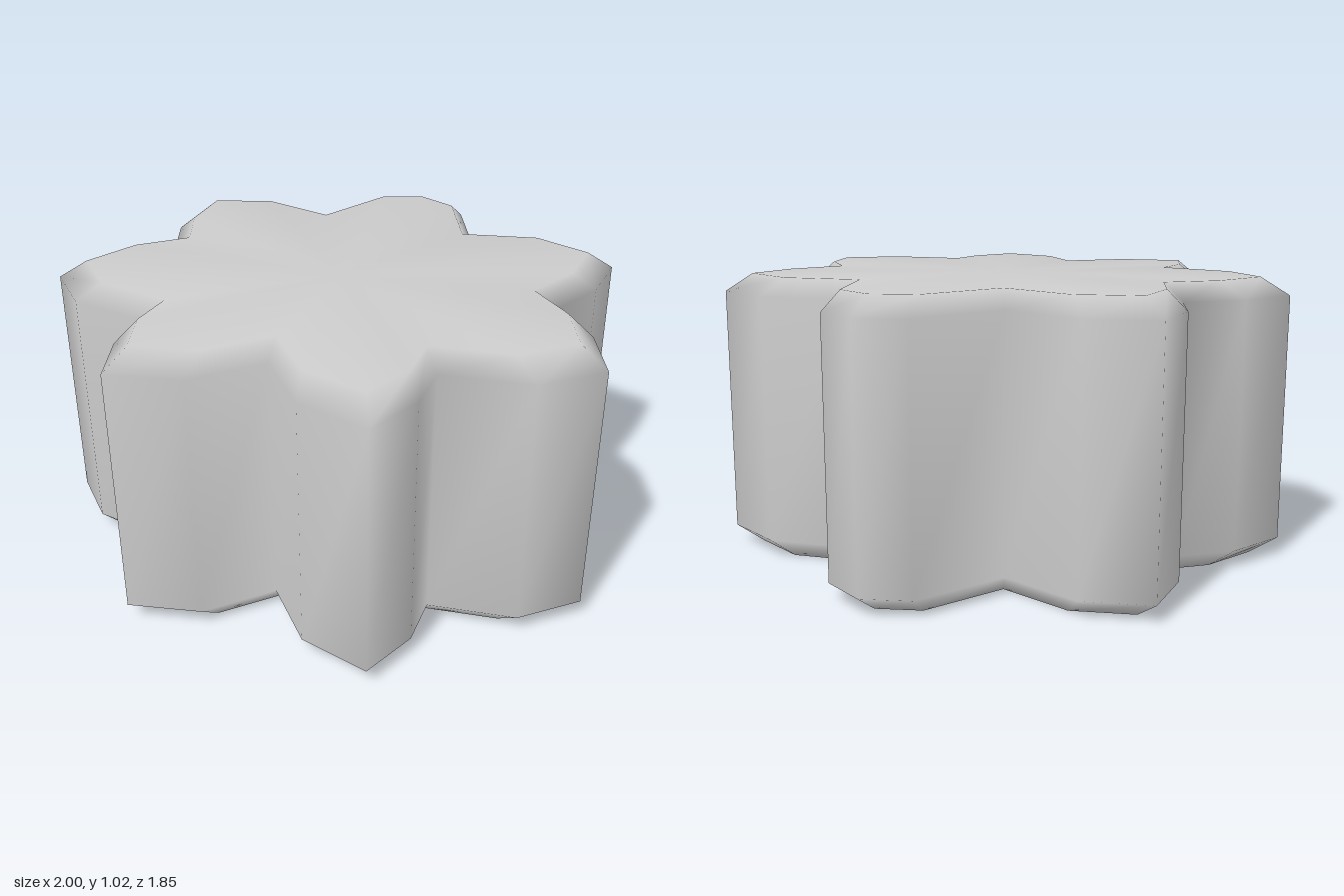
import * as THREE from 'three';

export function createModel() {
  const group = new THREE.Group();

  // Half of the seven-lobed outline (x, z), from the back tip to the front notch
  const half = [
    [0, -0.93], [0.165, -0.86], [0.315, -0.535], [0.62, -0.61], [0.853, -0.525],
    [0.84, -0.29], [0.742, -0.065], [0.908, 0.095], [1, 0.32], [0.82, 0.488],
    [0.515, 0.537], [0.52, 0.72], [0.44, 0.922], [0.188, 0.86], [0, 0.66],
  ];
  const mirrored = half.slice(1, -1).reverse().map(([x, z]) => [-x, z]);
  const outline = [...half, ...mirrored];
  const n = outline.length;

  // Stacked rings: height and scale, narrowed at both ends for the bevel
  const rings = [[0, 0.9], [0.065, 1], [0.96, 1], [1.025, 0.9]];
  const positions = [];
  for (const [y, s] of rings) {
    for (const [x, z] of outline) positions.push(x * s, y, z * s);
  }
  const bottom = rings.length * n;
  const top = bottom + 1;
  positions.push(0, 0, 0.06, 0, 1.025, 0.06);

  const index = [];
  for (let i = 0; i < n; i++) {
    const j = (i + 1) % n;
    // Walls and bevels
    for (let k = 0; k < rings.length - 1; k++) {
      const a = k * n + i, b = k * n + j;
      index.push(b, a, a + n, b, a + n, b + n);
    }
    // Bottom and top caps as fans
    const last = (rings.length - 1) * n;
    index.push(bottom, i, j, top, last + j, last + i);
  }

  const geometry = new THREE.BufferGeometry();
  geometry.setAttribute('position', new THREE.Float32BufferAttribute(positions, 3));
  geometry.setIndex(index);
  geometry.computeVertexNormals();

  const body = new THREE.Mesh(geometry, new THREE.MeshStandardMaterial({ color: 0xcccccc }));
  body.name = 'lobedBody';
  group.add(body);
  return group;
}
